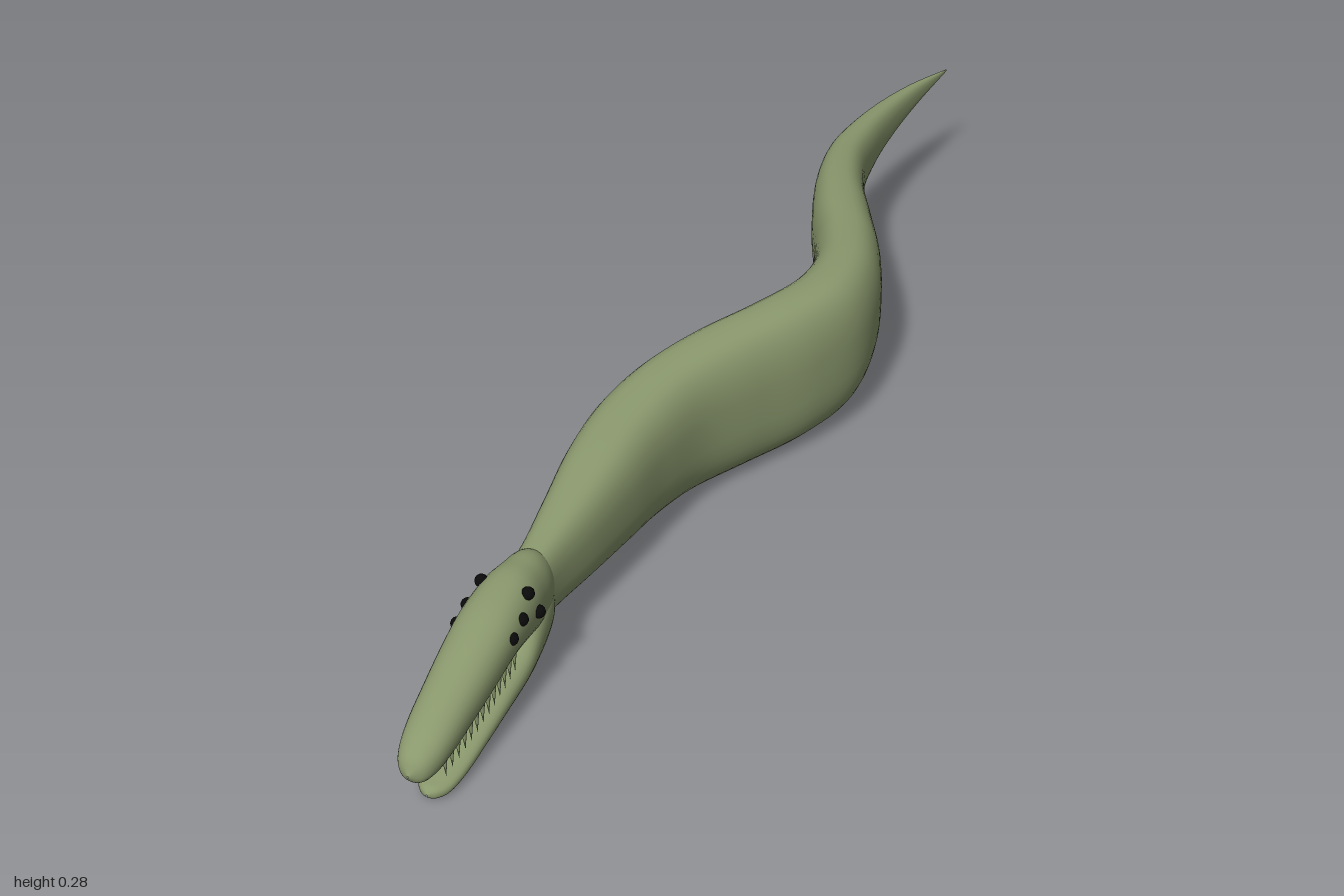
import * as THREE from 'three';

const skin = new THREE.MeshStandardMaterial({ color: 0x8a986d });
skin.name = 'olive skin';
const black = new THREE.MeshStandardMaterial({ color: 0x0a0a0a });
black.name = 'black';

const HEAD_X = -0.09;

// Smooth loft along z. Each station: [z, centre x, half width, bottom y, top y], from back to front.
function loft(stations, power, steps, sides = 32) {
  const path = new THREE.CatmullRomCurve3(
    stations.map(([z, x, w]) => new THREE.Vector3(x, w, z)), false, 'catmullrom', 0.5);
  const heights = new THREE.CatmullRomCurve3(
    stations.map(([, , , b, t]) => new THREE.Vector3(b, t, 0)), false, 'catmullrom', 0.5);
  const round = (v) => Math.sign(v) * Math.pow(Math.abs(v), 2 / power);
  const pos = [], index = [];
  for (let i = 0; i <= steps; i++) {
    const p = path.getPoint(i / steps);
    const h = heights.getPoint(i / steps);
    const w = Math.max(p.y, 0.0005);
    for (let j = 0; j < sides; j++) {
      const a = (j / sides) * Math.PI * 2;
      pos.push(p.x + w * round(Math.cos(a)), (h.x + h.y) / 2 + (h.y - h.x) / 2 * round(Math.sin(a)), p.z);
      if (i < steps) {
        const k = (j + 1) % sides, r = i * sides, s = r + sides;
        index.push(r + j, r + k, s + j, r + k, s + k, s + j);
      }
    }
  }
  const g = new THREE.BufferGeometry();
  g.setAttribute('position', new THREE.Float32BufferAttribute(pos, 3));
  g.setIndex(index);
  g.computeVertexNormals();
  return g;
}

export function createModel() {
  const model = new THREE.Group();
  model.name = 'eelCreature';
  const add = (name, geometry, material, parent = model) => {
    const mesh = new THREE.Mesh(geometry, material);
    mesh.name = name;
    parent.add(mesh);
    return mesh;
  };

  // Winding body, from tail tip to neck
  add('body', loft([
    [-1.0, -0.005, 0.001, 0.210, 0.214],
    [-0.9, -0.034, 0.012, 0.184, 0.226],
    [-0.8, -0.054, 0.021, 0.162, 0.235],
    [-0.7, -0.064, 0.029, 0.142, 0.243],
    [-0.6, -0.062, 0.038, 0.122, 0.251],
    [-0.5, -0.037, 0.048, 0.102, 0.260],
    [-0.4, 0.005, 0.058, 0.082, 0.268],
    [-0.3, 0.052, 0.062, 0.061, 0.275],
    [-0.2, 0.083, 0.064, 0.040, 0.281],
    [-0.1, 0.082, 0.069, 0.023, 0.283],
    [0.0, 0.042, 0.073, 0.014, 0.281],
    [0.1, -0.016, 0.073, 0.011, 0.274],
    [0.2, -0.062, 0.069, 0.017, 0.264],
    [0.3, -0.084, 0.068, 0.029, 0.251],
    [0.4, -0.089, 0.062, 0.043, 0.235],
    [0.5, -0.089, 0.049, 0.057, 0.214],
    [0.6, HEAD_X, 0.035, 0.070, 0.195],
    [0.68, HEAD_X, 0.033, 0.080, 0.185],
  ], 2.6, 120, 40), skin);

  // Head: skull with upper jaw, and open lower jaw
  const head = new THREE.Group();
  head.name = 'head';
  model.add(head);
  add('upperJaw', loft([
    [0.58, HEAD_X, 0.012, 0.110, 0.160],
    [0.62, HEAD_X, 0.034, 0.080, 0.195],
    [0.66, HEAD_X, 0.042, 0.080, 0.204],
    [0.70, HEAD_X, 0.047, 0.092, 0.207],
    [0.76, HEAD_X, 0.048, 0.101, 0.199],
    [0.82, HEAD_X, 0.046, 0.090, 0.182],
    [0.88, HEAD_X, 0.042, 0.078, 0.161],
    [0.93, HEAD_X, 0.038, 0.069, 0.142],
    [0.965, HEAD_X, 0.032, 0.064, 0.125],
    [0.988, HEAD_X, 0.021, 0.066, 0.110],
    [1.0, HEAD_X, 0.001, 0.083, 0.087],
  ], 2.2, 60), skin, head);
  add('lowerJaw', loft([
    [0.59, HEAD_X, 0.012, 0.080, 0.130],
    [0.62, HEAD_X, 0.033, 0.062, 0.150],
    [0.65, HEAD_X, 0.041, 0.047, 0.150],
    [0.69, HEAD_X, 0.045, 0.038, 0.130],
    [0.73, HEAD_X, 0.044, 0.032, 0.092],
    [0.79, HEAD_X, 0.041, 0.024, 0.071],
    [0.85, HEAD_X, 0.037, 0.014, 0.052],
    [0.90, HEAD_X, 0.033, 0.006, 0.037],
    [0.935, HEAD_X, 0.026, 0.002, 0.028],
    [0.952, HEAD_X, 0.015, 0.004, 0.024],
    [0.96, HEAD_X, 0.001, 0.012, 0.016],
  ], 2.3, 60), skin, head);

  // Mirrored rows of teeth and clusters of eyes
  const tooth = new THREE.ConeGeometry(0.0045, 0.036, 8);
  tooth.rotateX(Math.PI);
  const eye = new THREE.SphereGeometry(0.01, 14, 10);
  const eyeSpots = [[0.037, 0.19, 0.705], [0.043, 0.17, 0.738], [0.043, 0.16, 0.77], [0.047, 0.152, 0.695]];
  for (const side of [-1, 1]) {
    for (let i = 0; i < 13; i++) {
      const t = i / 12;
      const m = add('tooth', tooth, skin, head);
      m.position.set(HEAD_X + side * (0.033 - 0.014 * t * t), 0.099 - 0.045 * t, 0.75 + 0.185 * t);
    }
    for (const [x, y, z] of eyeSpots) {
      add('eye', eye, black, head).position.set(HEAD_X + side * x, y, z);
    }
  }
  return model;
}
